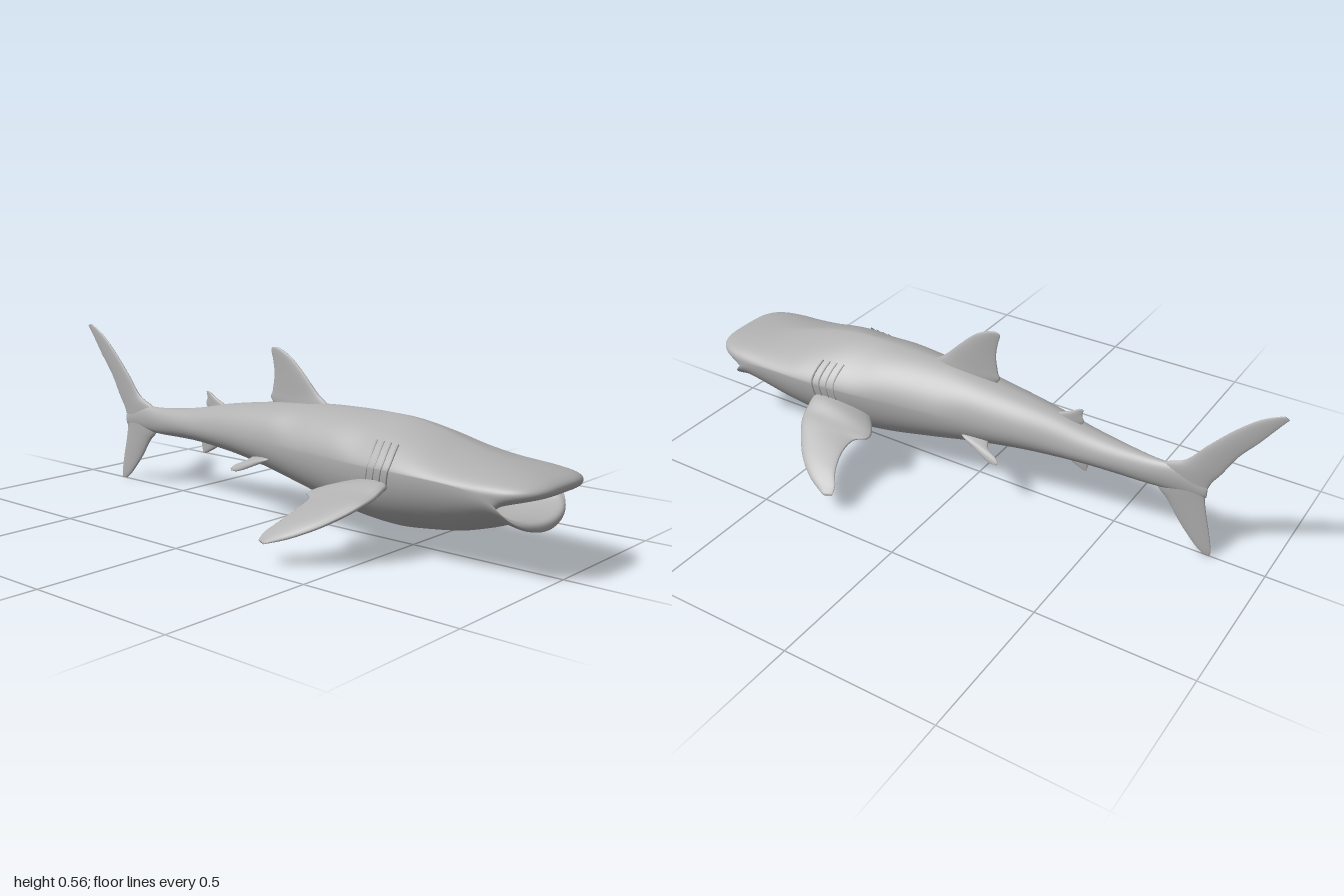
import * as THREE from 'three';

// Smooth interpolation between rows of numbers, with extra rows inserted
function smoothRows(rows, steps) {
  const out = [];
  const at = i => rows[Math.max(0, Math.min(rows.length - 1, i))];
  for (let i = 0; i < rows.length - 1; i++) {
    for (let s = 0; s < steps; s++) {
      const t = s / steps;
      out.push(rows[i].map((p1, k) => {
        const p0 = at(i - 1)[k], p2 = at(i + 1)[k], p3 = at(i + 2)[k];
        return p1 + 0.5 * t * (p2 - p0 + t * (2 * p0 - 5 * p1 + 4 * p2 - p3 + t * (3 * (p1 - p2) + p3 - p0)));
      }));
    }
  }
  out.push(rows[rows.length - 1]);
  return out;
}

// Closed skin over a list of loops, turned outwards by its signed volume
function loft(loops) {
  const n = loops[0].length, points = loops.flat(), index = [];
  for (let i = 0; i < loops.length - 1; i++) {
    for (let j = 0; j < n; j++) {
      const a = i * n + j, b = i * n + (j + 1) % n;
      index.push(a, b, a + n, b, b + n, a + n);
    }
  }
  [0, loops.length - 1].forEach((row, end) => {
    const mid = new THREE.Vector3();
    loops[row].forEach(p => mid.addScaledVector(p, 1 / n));
    const c = points.push(mid) - 1;
    for (let j = 0; j < n; j++) {
      const a = row * n + j, b = row * n + (j + 1) % n;
      if (end) index.push(a, b, c);
      else index.push(b, a, c);
    }
  });
  let volume = 0;
  const cross = new THREE.Vector3();
  for (let i = 0; i < index.length; i += 3) {
    cross.crossVectors(points[index[i + 1]], points[index[i + 2]]);
    volume += points[index[i]].dot(cross);
  }
  if (volume < 0) index.reverse();
  const geo = new THREE.BufferGeometry().setFromPoints(points);
  geo.setIndex(index);
  geo.computeVertexNormals();
  return geo;
}

// Body stations: z, half width, top, widest height, bottom
const trunk = [
  [-0.79, 0.005, 0.25, 0.23, 0.21], [-0.7, 0.016, 0.285, 0.245, 0.2],
  [-0.6, 0.03, 0.29, 0.245, 0.195], [-0.5, 0.045, 0.3, 0.248, 0.197],
  [-0.4, 0.058, 0.315, 0.25, 0.197], [-0.3, 0.07, 0.337, 0.255, 0.19],
  [-0.2, 0.085, 0.354, 0.26, 0.18], [-0.1, 0.099, 0.368, 0.26, 0.165],
  [0, 0.112, 0.38, 0.26, 0.145], [0.1, 0.126, 0.388, 0.26, 0.122],
  [0.2, 0.14, 0.394, 0.26, 0.1], [0.3, 0.155, 0.396, 0.26, 0.08],
  [0.4, 0.171, 0.396, 0.262, 0.068], [0.5, 0.185, 0.39, 0.265, 0.065],
  [0.6, 0.191, 0.37, 0.265, 0.075], [0.7, 0.188, 0.342, 0.262, 0.09],
];
// Mouth stations: z at top, side and bottom, half width, top, widest height, bottom, roundness above and below
const mouth = [
  [0.8, 0.78, 0.79, 0.184, 0.318, 0.255, 0.115, 1.7, 2],
  [0.92, 0.84, 0.87, 0.181, 0.298, 0.243, 0.14, 2.4, 2],
  [0.982, 0.873, 0.935, 0.175, 0.282, 0.228, 0.13, 3.2, 1.9],
  [1, 0.878, 0.953, 0.165, 0.263, 0.212, 0.14, 3.8, 1.9],
  [0.983, 0.868, 0.94, 0.152, 0.244, 0.205, 0.16, 3.8, 2],
  [0.9, 0.84, 0.88, 0.145, 0.24, 0.2, 0.155, 3, 2],
  [0.78, 0.77, 0.77, 0.13, 0.24, 0.2, 0.145, 2.5, 2],
  [0.66, 0.66, 0.66, 0.06, 0.22, 0.2, 0.17, 2, 2],
];
const stations = trunk.map(([z, w, top, mid, bot]) =>
  [z, z, z, w, top, mid, bot, z > 0.3 ? 1.45 : z > 0 ? 1.65 : 1.9, 2]).concat(mouth);

// Point on a body station at a given angle
function skinPoint([zTop, zSide, zBot, w, top, mid, bot, nUp, nLow], angle) {
  const c = Math.cos(angle), s = Math.sin(angle), up = s >= 0;
  const e = 2 / (up ? nUp : nLow);
  const x = w * Math.sign(c) * Math.abs(c) ** e;
  const y = mid + ((up ? top : bot) - mid) * Math.abs(s) ** e;
  const z = zSide + ((up ? zTop : zBot) - zSide) * Math.abs(s) ** 0.85;
  return new THREE.Vector3(x, y, z);
}

function bodyGeometry() {
  const n = 64;
  return loft(smoothRows(stations, 5).map(row =>
    Array.from({ length: n }, (_, j) => skinPoint(row, (j / n) * Math.PI * 2))));
}

// Fin from chords: leading x, y, z, trailing x, y, z, thickness
function finGeometry(chords, normal, side = 1) {
  const n = 20;
  return loft(smoothRows(chords, 5).map(([ax, ay, az, bx, by, bz, thick]) =>
    Array.from({ length: n }, (_, j) => {
      const a = (j / n) * Math.PI * 2, u = (1 - Math.cos(a)) / 2;
      const h = 0.5 * thick * Math.sin(a) * (1.25 - 0.6 * u);
      return new THREE.Vector3(
        side * (ax + (bx - ax) * u + normal[0] * h),
        ay + (by - ay) * u + normal[1] * h,
        az + (bz - az) * u);
    })));
}

// Upright fin on the centre line: leading y, z, trailing y, z, thickness
const uprightFin = rows =>
  finGeometry(rows.map(([ay, az, by, bz, t]) => [0, ay, az, 0, by, bz, t]), [1, 0]);

export function createModel() {
  const group = new THREE.Group();
  const skin = new THREE.MeshStandardMaterial({ color: 0xb0b0b0 });
  skin.name = 'greySkin';
  const add = (name, geo) => {
    const mesh = new THREE.Mesh(geo, skin);
    mesh.name = name;
    group.add(mesh);
  };

  add('body', bodyGeometry());

  add('dorsalFin', uprightFin([
    [0.35, 0.2, 0.35, -0.04, 0.036], [0.39, 0.165, 0.385, -0.075, 0.026],
    [0.42, 0.125, 0.41, -0.068, 0.021], [0.47, 0.075, 0.465, -0.06, 0.017],
    [0.52, 0.02, 0.51, -0.066, 0.013], [0.545, -0.025, 0.54, -0.074, 0.009],
    [0.552, -0.05, 0.55, -0.07, 0.004]]));
  add('secondDorsalFin', uprightFin([
    [0.31, -0.25, 0.31, -0.36, 0.02], [0.335, -0.28, 0.332, -0.376, 0.015],
    [0.355, -0.325, 0.352, -0.37, 0.011], [0.374, -0.358, 0.374, -0.374, 0.005]]));
  add('analFin', uprightFin([
    [0.22, -0.29, 0.22, -0.39, 0.02], [0.19, -0.32, 0.19, -0.4, 0.015],
    [0.172, -0.35, 0.17, -0.397, 0.011], [0.158, -0.38, 0.158, -0.396, 0.005]]));
  add('tailFin', uprightFin([
    [0.005, -0.8, 0.004, -0.822, 0.004], [0.03, -0.77, 0.025, -0.825, 0.01],
    [0.09, -0.717, 0.09, -0.812, 0.015], [0.16, -0.668, 0.16, -0.795, 0.02],
    [0.205, -0.63, 0.215, -0.787, 0.024], [0.28, -0.64, 0.265, -0.8, 0.024],
    [0.32, -0.715, 0.31, -0.828, 0.018], [0.39, -0.775, 0.385, -0.87, 0.015],
    [0.47, -0.85, 0.455, -0.925, 0.012], [0.53, -0.92, 0.515, -0.968, 0.009],
    [0.562, -0.98, 0.555, -0.998, 0.004]]));

  for (const [label, side] of [['left', 1], ['right', -1]]) {
    add(label + 'PectoralFin', finGeometry([
      [0.13, 0.225, 0.53, 0.13, 0.19, 0.35, 0.05], [0.185, 0.22, 0.538, 0.19, 0.18, 0.295, 0.042],
      [0.235, 0.195, 0.533, 0.232, 0.168, 0.278, 0.035], [0.275, 0.178, 0.52, 0.265, 0.165, 0.315, 0.03],
      [0.32, 0.152, 0.49, 0.32, 0.148, 0.32, 0.026], [0.375, 0.12, 0.44, 0.38, 0.118, 0.302, 0.021],
      [0.42, 0.09, 0.375, 0.415, 0.09, 0.278, 0.016], [0.446, 0.066, 0.305, 0.436, 0.07, 0.275, 0.006],
    ], [0.35, 0.94], side));
    add(label + 'PelvicFin', finGeometry([
      [0.075, 0.215, 0.02, 0.075, 0.205, -0.08, 0.02], [0.1, 0.205, 0.005, 0.1, 0.19, -0.095, 0.017],
      [0.112, 0.185, -0.04, 0.112, 0.175, -0.128, 0.013], [0.12, 0.165, -0.085, 0.12, 0.162, -0.143, 0.009],
      [0.124, 0.155, -0.115, 0.124, 0.155, -0.138, 0.004],
    ], [0.85, 0.5], side));

    // Gill folds follow the flank above the pectoral fin
    for (let i = 0; i < 4; i++) {
      const z = 0.45 + i * 0.027;
      const row = stations[12].map((v, k) => v + (stations[13][k] - v) * (z - 0.4) * 10);
      const path = Array.from({ length: 7 }, (_, k) => {
        const p = skinPoint(row, -0.25 + k * 0.16);
        p.x *= side;
        p.z += 0.012 * Math.sin(k / 2);
        return p;
      });
      add(label + 'GillFold' + (i + 1),
        new THREE.TubeGeometry(new THREE.CatmullRomCurve3(path), 20, 0.0035, 6));
    }
  }
  return group;
}
